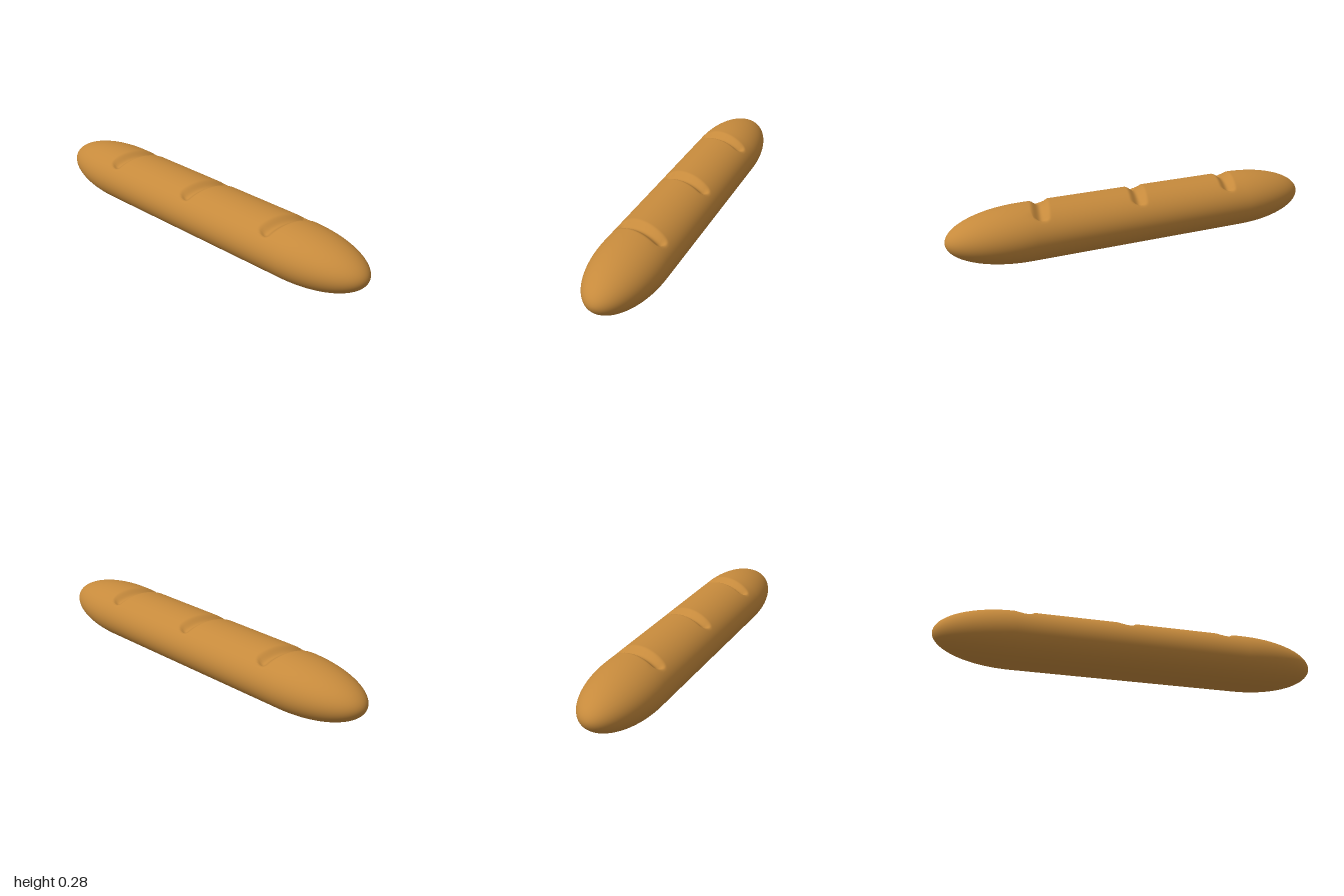
import * as THREE from 'three';
import { mergeVertices } from 'three/addons/utils/BufferGeometryUtils.js';

const HALF_W = 0.178, HALF_H = 0.142, CENTRE_Y = 0.145;
const CAP = 0.4; // length of each rounded end

// Depth of the three slanted score marks at a point on the crust
function scoreDepth(x, z) {
  let depth = 0;
  for (const cz of [-0.525, 0, 0.525]) {
    // frame along and across the cut
    const a = 0.29, dz = z - cz;
    const along = x * Math.cos(a) + dz * Math.sin(a);
    const across = -x * Math.sin(a) + dz * Math.cos(a);
    const over = Math.max(0, Math.abs(along) - 0.115);
    const d = Math.hypot(across, over * 1.6) / 0.05;
    if (d < 1) depth += 0.027 * (0.5 + 0.5 * Math.cos(Math.PI * d));
  }
  return depth;
}

export function createModel() {
  const group = new THREE.Group();
  group.name = 'breadLoaf';
  const crust = new THREE.MeshStandardMaterial({ color: 0xc68a3c });
  crust.name = 'golden crust';

  // Lengthwise profile: elliptical end, straight middle, elliptical end
  const profile = [];
  const capSteps = 24, midSteps = 200, straight = 1 - CAP;
  for (let i = 0; i < capSteps; i++) {
    const t = (i / capSteps) * Math.PI / 2;
    profile.push(new THREE.Vector2(Math.sin(t), -straight - CAP * Math.cos(t)));
  }
  for (let i = 0; i <= midSteps; i++) {
    profile.push(new THREE.Vector2(1, -straight + (2 * straight * i) / midSteps));
  }
  for (let i = capSteps - 1; i >= 0; i--) {
    const t = (i / capSteps) * Math.PI / 2;
    profile.push(new THREE.Vector2(Math.sin(t), straight + CAP * Math.cos(t)));
  }

  // Turn the profile, lay it along z and flatten it to an oval section
  let loaf = new THREE.LatheGeometry(profile, 96);
  loaf.rotateX(Math.PI / 2);
  loaf.scale(HALF_W, HALF_H, 1);
  loaf.translate(0, CENTRE_Y, 0);
  loaf.deleteAttribute('uv');
  loaf.deleteAttribute('normal');
  loaf = mergeVertices(loaf, 1e-5);

  // Press the score marks into the top
  const p = loaf.attributes.position;
  for (let i = 0; i < p.count; i++) {
    if (p.getY(i) > CENTRE_Y + 0.02) p.setY(i, p.getY(i) - scoreDepth(p.getX(i), p.getZ(i)));
  }
  loaf.computeVertexNormals();

  const mesh = new THREE.Mesh(loaf, crust);
  mesh.name = 'scoredLoaf';
  group.add(mesh);
  return group;
}
